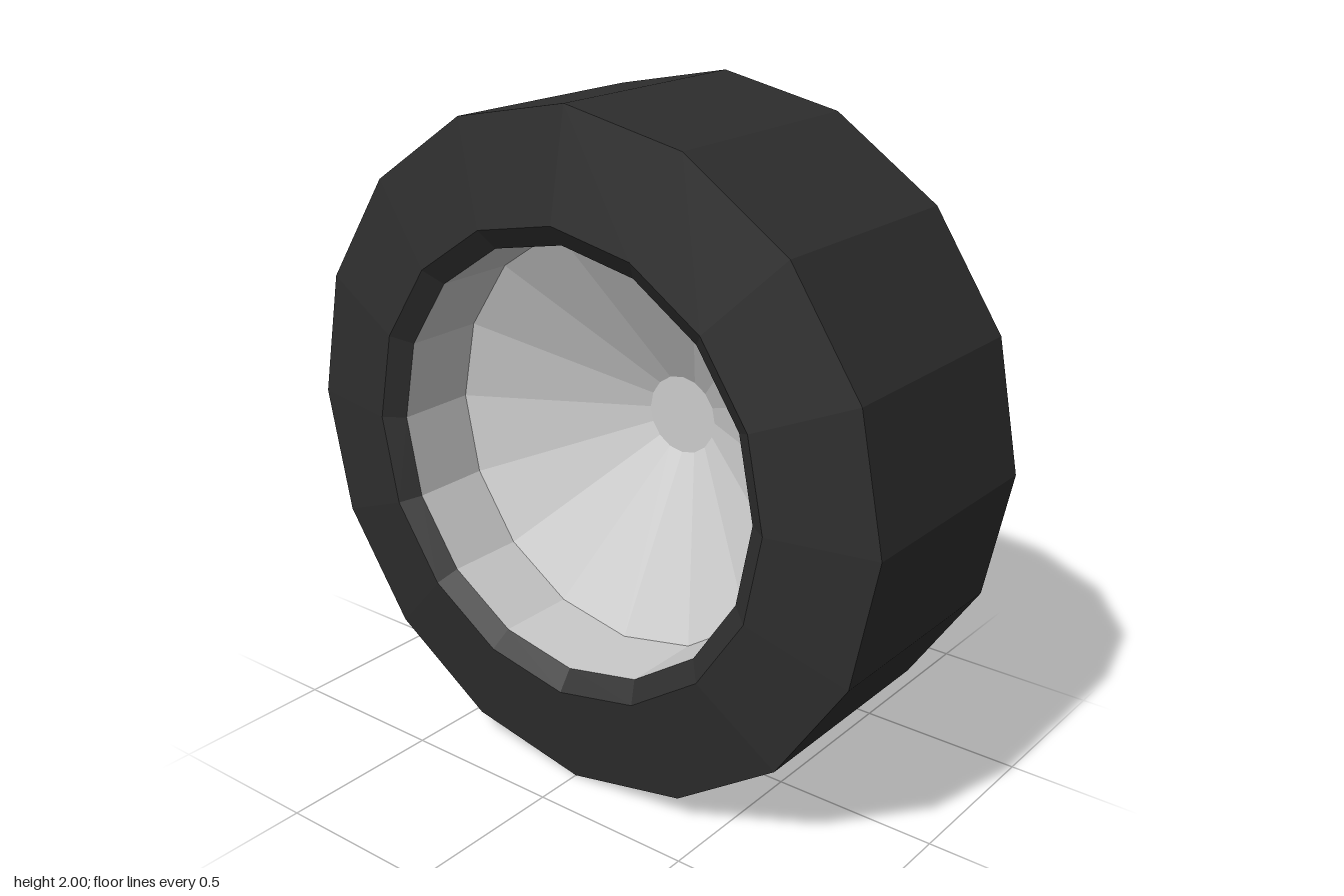
import * as THREE from 'three';
import { ConvexGeometry } from 'three/addons/geometries/ConvexGeometry.js';

const SIDES = 16, STEP = (Math.PI * 2) / SIDES;
const HUB_R = 0.12, RIM_R = 0.63;

const rubber = new THREE.MeshStandardMaterial({ color: 0x2e2e2e, flatShading: true });
const metal = new THREE.MeshStandardMaterial({ color: 0xcccccc, flatShading: true });

function part(name, geometry, material, parent) {
  const mesh = new THREE.Mesh(geometry, material);
  mesh.name = name;
  parent.add(mesh);
  return mesh;
}

// Faceted revolve of [radius, x] points around the x axis
function revolve(points) {
  const profile = points.map(([r, x]) => new THREE.Vector2(r, x));
  return new THREE.LatheGeometry(profile, SIDES).rotateZ(-Math.PI / 2);
}

// One pie sector from hub to rim; x of the front and back at both ends
function sector(index, frontIn, frontOut, backIn, backOut) {
  const points = [];
  for (const a of [index * STEP, (index + 1) * STEP]) {
    for (const [r, x] of [[HUB_R, frontIn], [RIM_R, frontOut], [HUB_R, backIn], [RIM_R, backOut]]) {
      points.push(new THREE.Vector3(x, r * Math.sin(a), r * Math.cos(a)));
    }
  }
  return new ConvexGeometry(points);
}

export function createModel() {
  const wheel = new THREE.Group();
  wheel.name = 'wheel';
  wheel.position.y = 1;

  // Tyre: lip, sidewall, flat tread, sidewall, lip
  part('tyre', revolve([
    [RIM_R, -0.37], [0.69, -0.413], [1, -0.352], [1, 0.352], [0.69, 0.413], [RIM_R, 0.37],
  ]), rubber, wheel);

  // Front rim wall, seen inside the recesses
  part('rimFront', revolve([[RIM_R, 0.37], [RIM_R, 0.2]]), metal, wheel);

  // Deep conical dish and barrel on the inner side
  part('rimBack', revolve([[0, 0.16], [HUB_R, 0.16], [RIM_R, -0.12], [RIM_R, -0.37]]), metal, wheel);

  // Raised spokes alternate with sunken panels
  const panel = sector(0, 0.2, 0.24, 0.18, 0.2);
  const spoke = sector(1, 0.28, 0.36, 0.2, 0.24);
  for (let i = 0; i < SIDES / 2; i++) {
    part('recessPanel', panel, metal, wheel).rotation.x = i * 2 * STEP;
    part('spoke', spoke, metal, wheel).rotation.x = i * 2 * STEP;
  }

  // Hub cap
  const hub = new THREE.CylinderGeometry(HUB_R, HUB_R, 0.13, SIDES).rotateZ(-Math.PI / 2);
  part('hub', hub, metal, wheel).position.x = 0.245;

  const model = new THREE.Group();
  model.add(wheel);
  return model;
}
